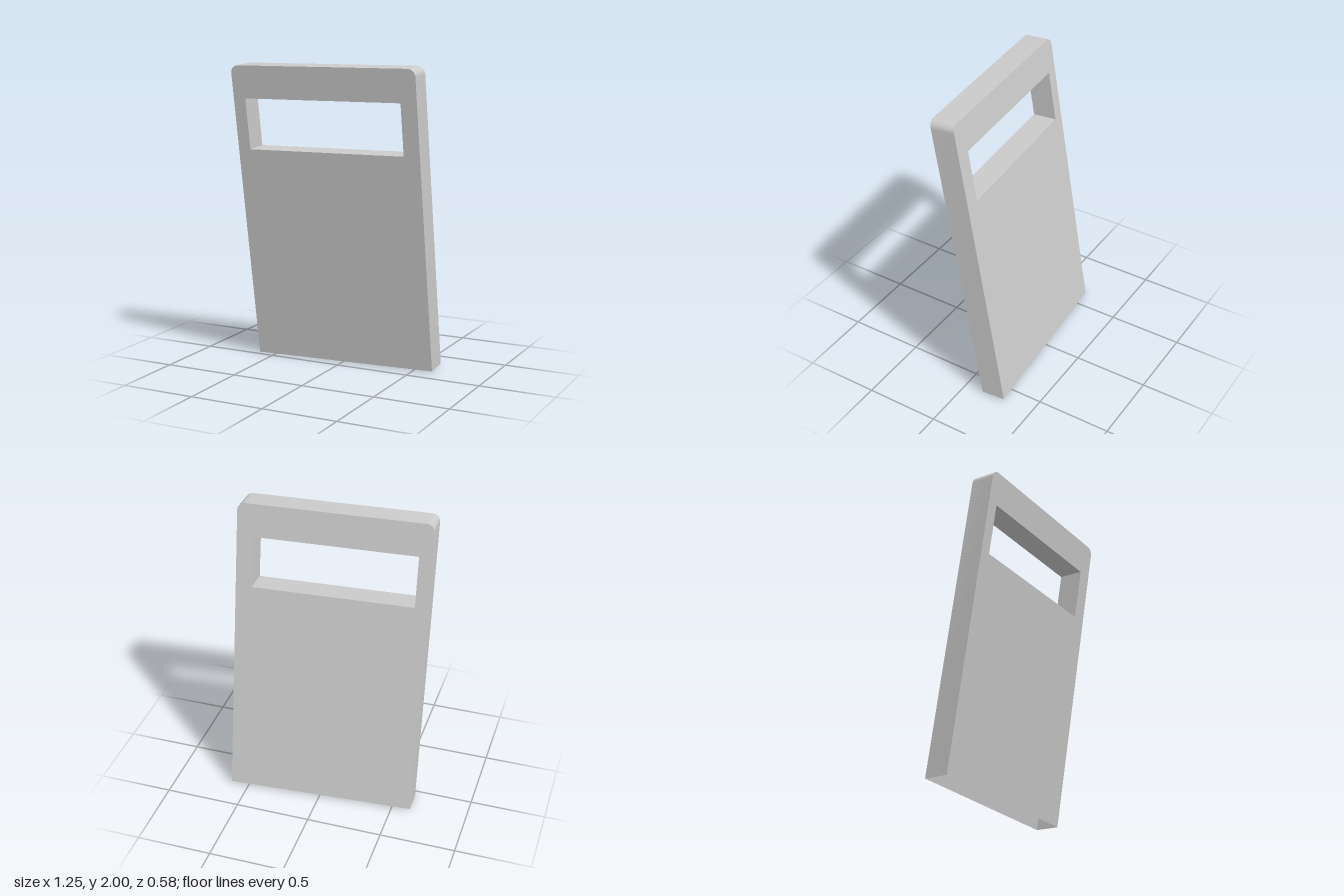
import * as THREE from 'three';
import { toCreasedNormals } from 'three/addons/utils/BufferGeometryUtils.js';

const HALF_WIDTH = 0.622, HEIGHT = 1.985, DEPTH = 0.163, RADIUS = 0.05;

// Upright outline: square lower corners, rounded upper corners, wide slot near the top
function panelShape() {
  const shape = new THREE.Shape();
  shape.moveTo(-HALF_WIDTH, 0);
  shape.lineTo(HALF_WIDTH, 0);
  shape.absarc(HALF_WIDTH - RADIUS, HEIGHT - RADIUS, RADIUS, 0, Math.PI / 2, false);
  shape.absarc(-HALF_WIDTH + RADIUS, HEIGHT - RADIUS, RADIUS, Math.PI / 2, Math.PI, false);
  shape.closePath();

  const slot = new THREE.Path();
  slot.moveTo(-0.54, 1.437);
  slot.lineTo(-0.54, 1.772);
  slot.lineTo(0.516, 1.772);
  slot.lineTo(0.516, 1.437);
  slot.closePath();
  shape.holes.push(slot);
  return shape;
}

// Drop the triangles lying on the base, leaving the shell open underneath
function openBase(geometry) {
  const p = geometry.attributes.position;
  const kept = [];
  for (let i = 0; i < p.count; i += 3) {
    if (Math.max(p.getY(i), p.getY(i + 1), p.getY(i + 2)) < 1e-5) continue;
    for (let k = i; k < i + 3; k++) kept.push(p.getX(k), p.getY(k), p.getZ(k));
  }
  const open = new THREE.BufferGeometry();
  open.setAttribute('position', new THREE.Float32BufferAttribute(kept, 3));
  return open;
}

export function createModel() {
  const group = new THREE.Group();
  group.name = 'leaningPanel';

  const solid = new THREE.ExtrudeGeometry(panelShape(), {
    depth: DEPTH, bevelEnabled: false, curveSegments: 8,
  });
  solid.translate(0, 0, -DEPTH);
  const shell = openBase(solid);

  // Slant the panel: the top leans forward and the left side turns back
  shell.applyMatrix4(new THREE.Matrix4().set(
    1, 0, 0.03, 0.002,
    0.004, 1, -0.06, 0.0025,
    -0.073, 0.168, 1, -0.087,
    0, 0, 0, 1,
  ));

  const panel = new THREE.Mesh(
    toCreasedNormals(shell, Math.PI / 6),
    new THREE.MeshStandardMaterial({ color: 0xcccccc, side: THREE.DoubleSide }),
  );
  panel.name = 'slottedPanel';
  group.add(panel);
  return group;
}
